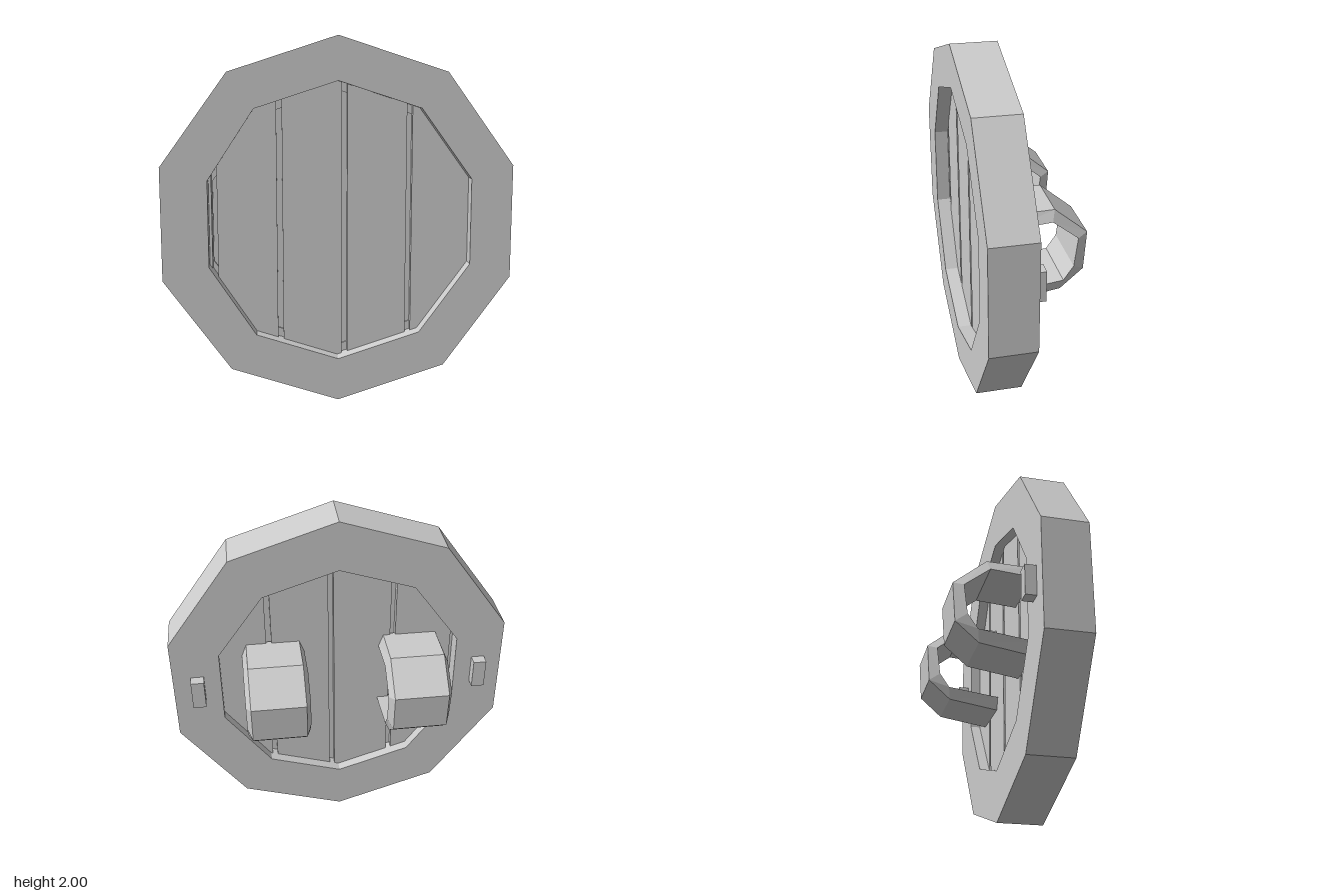
import * as THREE from 'three';

const R = Math.sin(Math.PI / 5);
const material = new THREE.MeshStandardMaterial({ color: 0xcccccc, flatShading: true });

// Decagon corners with a corner at the top, centred on the origin
function decagon(radius) {
  return Array.from({ length: 10 }, (_, i) => {
    const a = Math.PI / 2 + (i * Math.PI) / 5;
    return new THREE.Vector2(radius * Math.cos(a), radius * Math.sin(a));
  });
}

// Flat outline, optionally with a hole, extruded between two z values
function slab(points, z0, z1, hole) {
  const shape = new THREE.Shape(points);
  if (hole) shape.holes.push(new THREE.Path(hole));
  return new THREE.ExtrudeGeometry(shape, { depth: z1 - z0, bevelEnabled: false }).translate(0, 1, z0);
}

// Plank between x0 and x1, its ends following a decagon hidden inside the rim
function plankOutline(x0, x1, radius = 0.83) {
  const corner = radius * R;
  const height = (x) => {
    const ax = Math.abs(x);
    return ax < corner
      ? radius - (ax / corner) * radius * 0.191
      : radius * (0.809 - ((ax - corner) / (radius * 0.363)) * 0.5);
  };
  const xs = [x0, -corner, 0, corner, x1].filter((x) => x >= x0 && x <= x1);
  return [
    ...xs.map((x) => new THREE.Vector2(x, -height(x))),
    ...xs.reverse().map((x) => new THREE.Vector2(x, height(x))),
  ];
}

// Strap with a trapezoid section: wide inside, narrower outside; profile rows are z, y
function strapGeometry() {
  const outer = [[0.13, 1.243], [-0.13, 1.25], [-0.31, 1.1], [-0.295, 0.88], [-0.17, 0.77], [0.13, 0.723]];
  const inner = [[0.13, 1.17], [-0.115, 1.19], [-0.255, 1.08], [-0.235, 0.915], [-0.18, 0.835], [0.13, 0.795]];
  const positions = [];
  const index = [];
  outer.forEach(([oz, oy], i) => {
    const [iz, iy] = inner[i];
    positions.push(0.151, oy, oz, -0.151, oy, oz, -0.178, iy, iz, 0.178, iy, iz);
    if (i === outer.length - 1) return;
    for (let k = 0; k < 4; k++) {
      const a = i * 4 + k;
      const b = i * 4 + ((k + 1) % 4);
      index.push(a, a + 4, b + 4, a, b + 4, b);
    }
  });
  const indexed = new THREE.BufferGeometry();
  indexed.setAttribute('position', new THREE.Float32BufferAttribute(positions, 3));
  indexed.setIndex(index);
  const geometry = indexed.toNonIndexed();
  geometry.computeVertexNormals();
  return geometry;
}

export function createModel() {
  const model = new THREE.Group();
  model.name = 'shield';
  const add = (name, geometry, x = 0, y = 0, z = 0) => {
    const mesh = new THREE.Mesh(geometry, material);
    mesh.name = name;
    mesh.position.set(x, y, z);
    model.add(mesh);
  };

  // Rim: the front opening is a little wider than the back one
  const frontHole = decagon(0.763);
  frontHole.forEach((p) => { p.x = Math.max(p.x, -0.7); });
  add('rimFront', slab(decagon(1), 0.2, 0.31, frontHole));
  add('rimBack', slab(decagon(1), 0.055, 0.2, decagon(0.715)));

  // Thin core that closes the grooves between the planks
  add('core', slab(decagon(0.83), 0.155, 0.19));

  // Vertical planks separated by narrow grooves
  const gap = 0.03;
  const seams = [-0.67, -0.315, 0.04, 0.395];
  const edges = [-0.78, ...seams, 0.78];
  for (let i = 0; i < edges.length - 1; i++) {
    const x0 = edges[i] + (i > 0 ? gap / 2 : 0);
    const x1 = edges[i + 1] - (i < edges.length - 2 ? gap / 2 : 0);
    add(`plank${i + 1}`, slab(plankOutline(x0, x1), 0.113, 0.23));
  }

  // Arm straps and the small blocks on the back of the rim
  const strap = strapGeometry();
  add('rightStrap', strap, -0.412);
  add('leftStrap', strap, 0.373);
  const block = new THREE.BoxGeometry(0.074, 0.17, 0.08);
  add('rightBlock', block, -0.815, 1, 0.035);
  add('leftBlock', block, 0.812, 1, 0.035);

  return model;
}
